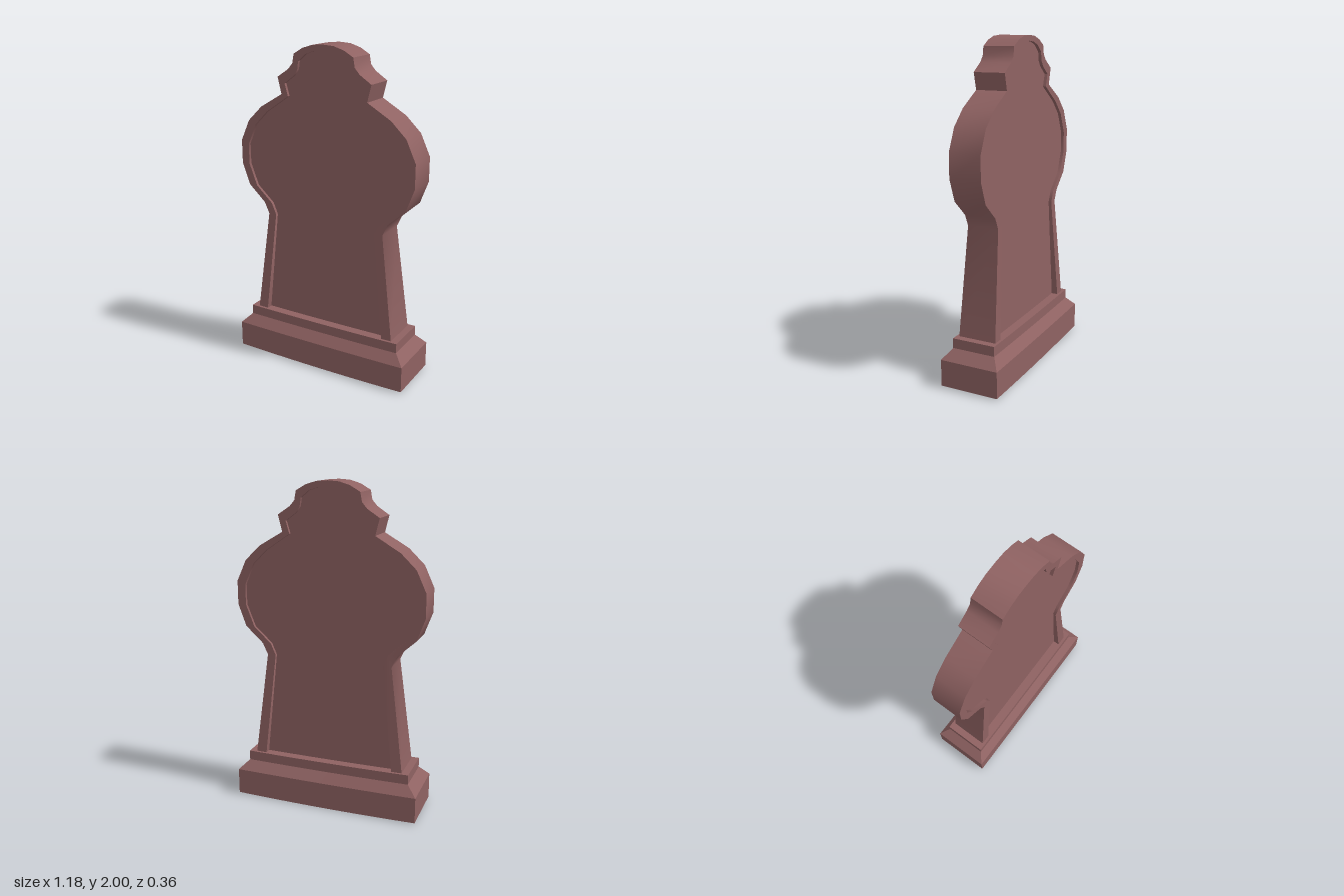
import * as THREE from 'three';
import { toCreasedNormals } from 'three/addons/utils/BufferGeometryUtils.js';

const material = new THREE.MeshStandardMaterial({ color: 0x8f6262 });

// Right half of each outline, from the foot up to the crown
const OUTER = [
  [0.483, 0.27], [0.397, 0.94], [0.43, 1.01], [0.54, 1.11], [0.59, 1.245], [0.59, 1.39],
  [0.53, 1.52], [0.435, 1.612], [0.285, 1.70], [0.31, 1.80], [0.235, 1.85], [0.205, 1.885],
  [0.195, 1.94], [0.135, 1.975], [0.07, 1.995], [0, 2],
];
const INNER = [
  [0.417, 0.27], [0.345, 0.94], [0.375, 1.01], [0.485, 1.11], [0.538, 1.245], [0.538, 1.37],
  [0.48, 1.50], [0.395, 1.585], [0.24, 1.69], [0.262, 1.765], [0.195, 1.815], [0.172, 1.85],
  [0.165, 1.90], [0.115, 1.942], [0.06, 1.961], [0, 1.967],
];

// Mirror a half outline into the full run from right foot to left foot
const fullOutline = (half) => [
  ...half,
  ...half.slice(0, -1).reverse().map(([x, y]) => [-x, y]),
].map(([x, y]) => new THREE.Vector2(x, y));

function addMesh(group, name, geometry) {
  const mesh = new THREE.Mesh(geometry, material);
  mesh.name = name;
  group.add(mesh);
  return mesh;
}

// Raised border, thickening towards the foot
function rimGeometry() {
  const shape = new THREE.Shape([...fullOutline(OUTER), ...fullOutline(INNER).reverse()]);
  const geo = new THREE.ExtrudeGeometry(shape, { depth: 0.194, bevelEnabled: false });
  geo.translate(0, 0, -0.097);
  const p = geo.attributes.position;
  for (let i = 0; i < p.count; i++) {
    const flare = Math.max(0, (0.94 - p.getY(i)) / 0.65);
    p.setZ(i, p.getZ(i) * (1 + 0.22 * flare));
  }
  geo.computeVertexNormals();
  return toCreasedNormals(geo, 0.6);
}

// Stepped plinth with a sloping shoulder and a slight sag along its length
function plinthGeometry() {
  const rows = [[0, 0.585, 0.182], [0.17, 0.585, 0.182], [0.23, 0.525, 0.135], [0.29, 0.525, 0.135]];
  const geo = new THREE.BoxGeometry(2, 3, 2, 10, 3, 1);
  const p = geo.attributes.position;
  for (let i = 0; i < p.count; i++) {
    const [y, halfX, halfZ] = rows[Math.round(p.getY(i) + 1.5)];
    const u = p.getX(i);
    const sag = (y === 0 ? 0.008 : 0.004) * (1 - u * u);
    p.setXYZ(i, u * halfX, y + (y === 0 ? 0.008 : 0) - sag, p.getZ(i) * halfZ);
  }
  return toCreasedNormals(geo, 0.3);
}

export function createModel() {
  const group = new THREE.Group();
  group.name = 'headstone';
  addMesh(group, 'plinth', plinthGeometry());
  addMesh(group, 'rim', rimGeometry());

  // Recessed flat faces inside the border, front and back
  const panel = new THREE.ShapeGeometry(new THREE.Shape(fullOutline(INNER)));
  addMesh(group, 'frontPanel', panel).position.z = 0.078;
  const back = addMesh(group, 'backPanel', panel);
  back.position.z = -0.078;
  back.rotation.y = Math.PI;
  return group;
}
